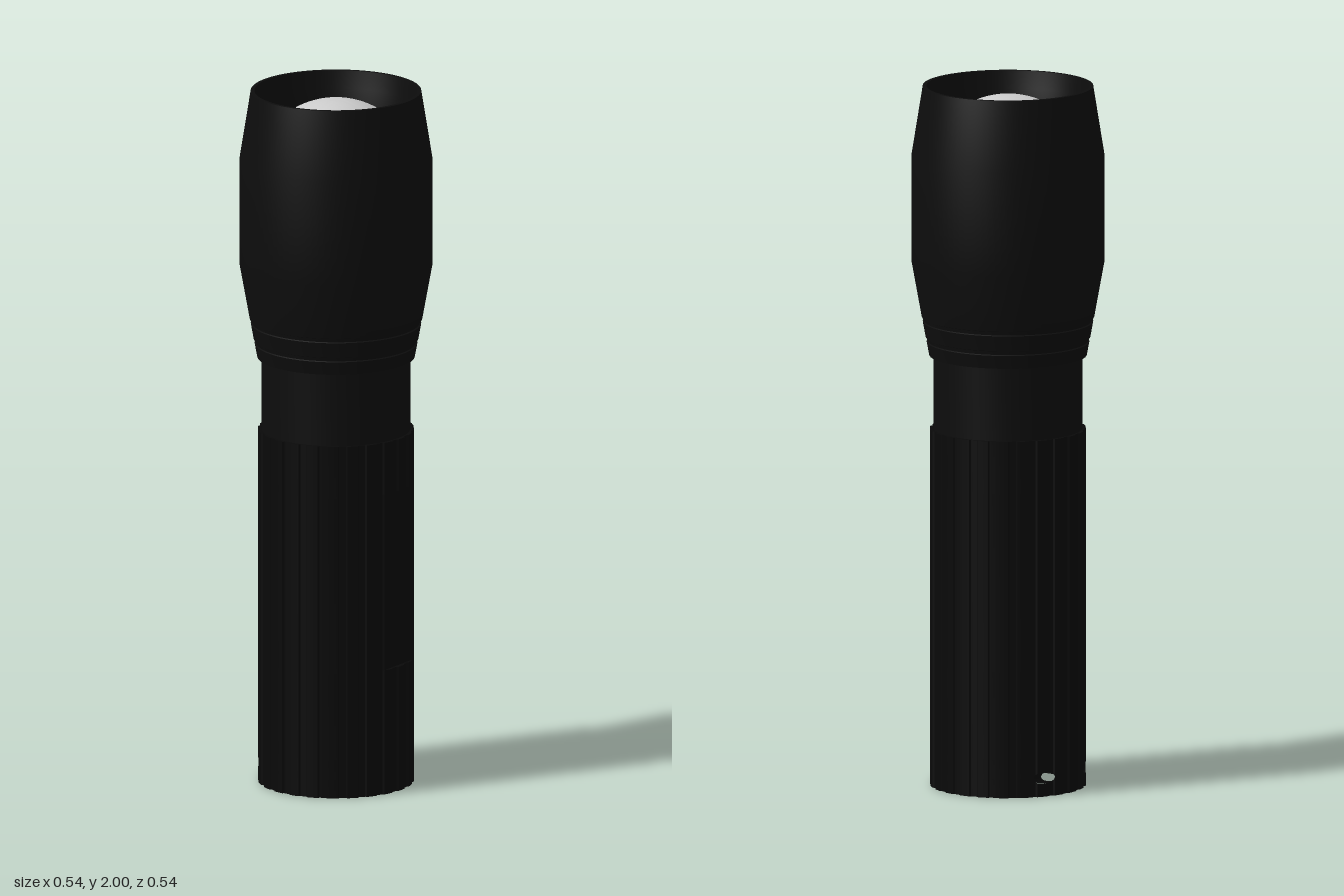
import * as THREE from 'three';
import { toCreasedNormals } from 'three/addons/utils/BufferGeometryUtils.js';

const STEPS = 360;
const R = 0.22, BORE = 0.197, RECESS = 0.11;
const HOLE = { x: -0.19, y: 0.053, r: 0.016 };

const headMat = new THREE.MeshStandardMaterial({ color: 0x0d0d0d });
const bodyMat = new THREE.MeshStandardMaterial({ color: 0x090909 });
const buttonMat = new THREE.MeshStandardMaterial({ color: 0x3a3a3a });
const lensMat = new THREE.MeshStandardMaterial({ color: 0xcccccc });

function add(parent, name, geometry, material) {
  const mesh = new THREE.Mesh(toCreasedNormals(geometry, 0.35), material);
  mesh.name = name;
  parent.add(mesh);
  return mesh;
}

// Closed surface between two curves a(t) and b(t), t running once round
function loft(a, b, steps = STEPS) {
  const pos = [];
  const tri = new THREE.Triangle();
  const push = (p, q, r) => {
    if (tri.set(p, q, r).getArea() > 1e-9) for (const v of [p, q, r]) pos.push(v.x, v.y, v.z);
  };
  for (let i = 0; i < steps; i++) {
    const t0 = (i / steps) * Math.PI * 2, t1 = ((i + 1) / steps) * Math.PI * 2;
    const a0 = a(t0), b0 = b(t0), a1 = a(t1), b1 = b(t1);
    push(a0, b0, b1);
    push(a0, b1, a1);
  }
  const g = new THREE.BufferGeometry();
  g.setAttribute('position', new THREE.Float32BufferAttribute(pos, 3));
  g.computeVertexNormals();
  return g;
}

// Ring curve; radius and height may each be a number or a function of angle
const val = (v, t) => (typeof v === 'function' ? v(t) : v);
const ring = (r, y) => (t) =>
  new THREE.Vector3(val(r, t) * Math.cos(t), val(y, t), val(r, t) * Math.sin(t));

// Radius of the fluted grip
function fluted(t) {
  const pitch = 15;
  const deg = (THREE.MathUtils.radToDeg(t) + 360) % pitch;
  return Math.abs(deg - pitch / 2) < 2.9 ? R - 0.005 : R;
}
// Same grip cut by the flat on the +x side
const flatted = (t) => (Math.cos(t) > 0.1 ? Math.min(fluted(t), 0.207 / Math.cos(t)) : fluted(t));

// Edge of the cross-drilled cord hole on a wall of given radius
const holeEdge = (r, sign) => (t) => {
  const d = val(r, t) * Math.cos(t) - HOLE.x;
  return HOLE.y + sign * Math.sqrt(Math.max(0, HOLE.r ** 2 - d * d));
};

function lathe(points) {
  return new THREE.LatheGeometry(points.map(([r, y]) => new THREE.Vector2(r, y)), 96);
}

export function createModel() {
  const model = new THREE.Group();
  model.name = 'flashlight';

  // Fluted grip with its side flat
  const grip = new THREE.Group();
  grip.name = 'grip';
  model.add(grip);
  const band = (name, a, b) => add(grip, name, loft(a, b), bodyMat);
  band('gripLower', ring(fluted, RECESS), ring(fluted, 0.36));
  band('flatLowerStep', ring(fluted, 0.36), ring(flatted, 0.36));
  band('gripMiddle', ring(flatted, 0.36), ring(flatted, 0.87));
  band('flatUpperStep', ring(flatted, 0.87), ring(fluted, 0.87));
  band('gripUpper', ring(fluted, 0.87), ring(fluted, 1.02));
  band('gripShoulder', ring(fluted, 1.02), ring(0.19, 1.02));

  // Hollow tail, with walls split above and below the cord hole
  band('tailOuterLow', ring(fluted, 0), ring(fluted, holeEdge(fluted, -1)));
  band('tailOuterHigh', ring(fluted, holeEdge(fluted, 1)), ring(fluted, RECESS));
  band('tailInnerLow', ring(BORE, holeEdge(BORE, -1)), ring(BORE, 0));
  band('tailInnerHigh', ring(BORE, RECESS), ring(BORE, holeEdge(BORE, 1)));
  band('tailRim', ring(BORE, 0), ring(fluted, 0));
  band('tailFloor', ring(0, RECESS), ring(BORE, RECESS));

  // Lining of the cord hole through both sides of the wall
  for (const side of [1, -1]) {
    const edge = (r) => (t) => {
      const x = HOLE.x + HOLE.r * Math.cos(t);
      const z = Math.sqrt(Math.max(0, r * r - x * x));
      return new THREE.Vector3(x, HOLE.y + HOLE.r * Math.sin(t), side * z);
    };
    const lining = add(grip, 'cordHole', loft(edge(BORE), edge(R - 0.003), 24), bodyMat.clone());
    lining.material.side = THREE.DoubleSide;
  }

  // Tail switch
  const button = add(model, 'tailButton', new THREE.CylinderGeometry(0.066, 0.066, 0.1, 48), buttonMat);
  button.position.y = 0.06;

  // Neck
  add(model, 'neck', lathe([[0.21, 1.0], [0.21, 1.24]]), headMat);

  // Head: ringed taper, barrel, bezel and inner funnel down to the lens
  add(model, 'head', lathe([
    [0.2, 1.23], [0.222, 1.23], [0.229, 1.268], [0.225, 1.27], [0.227, 1.28], [0.232, 1.282],
    [0.24, 1.326], [0.236, 1.328], [0.238, 1.338], [0.243, 1.34],
    [0.272, 1.5], [0.272, 1.8], [0.24, 2], [0.23, 2], [0.222, 1.95], [0.204, 1.86], [0.204, 1.82],
  ]), headMat);

  // Domed lens
  const dome = 0.238;
  const lens = add(model, 'lens',
    new THREE.SphereGeometry(dome, 64, 24, 0, Math.PI * 2, 0, Math.asin(0.206 / dome)), lensMat);
  lens.position.y = 1.735;

  return model;
}
